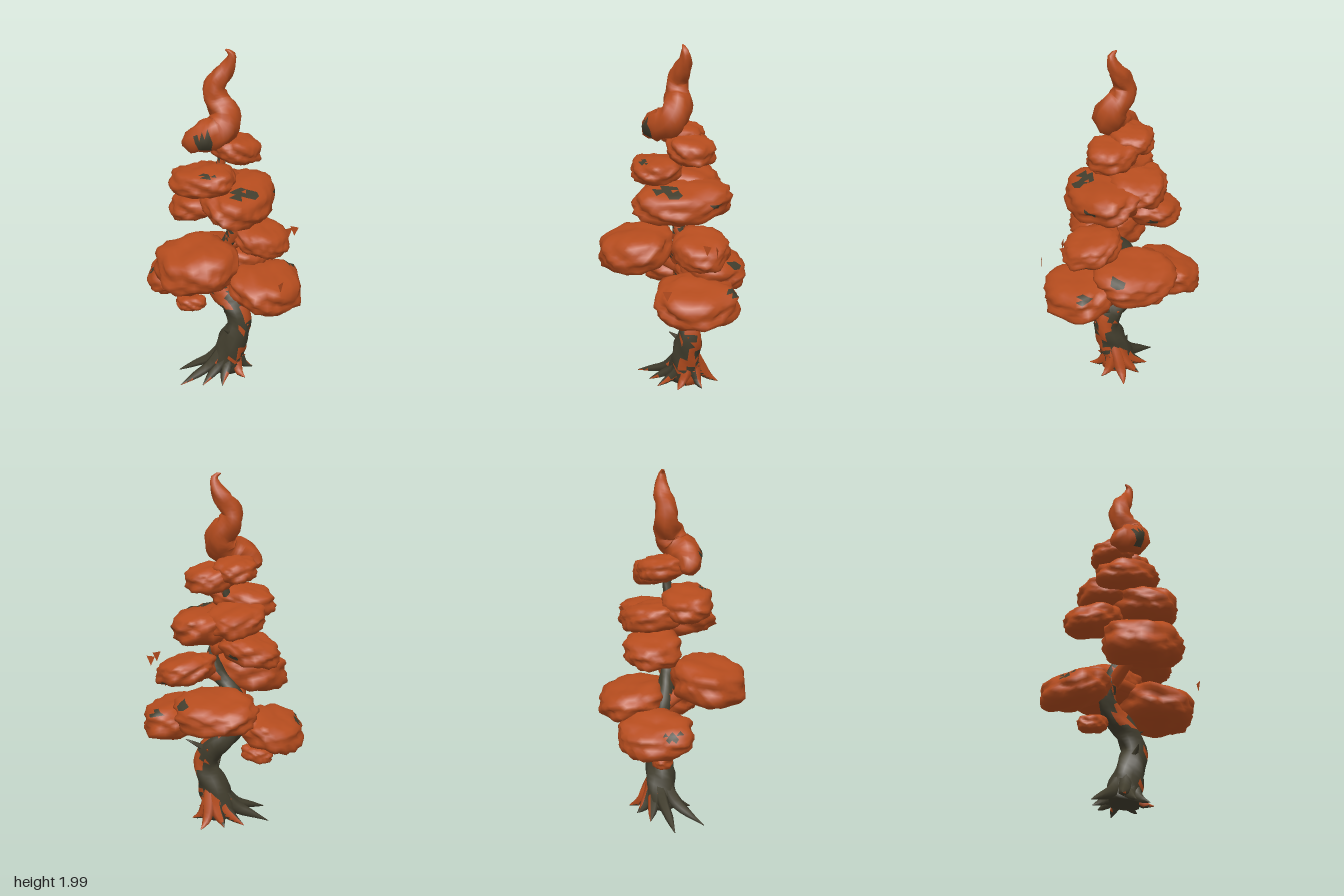
import * as THREE from 'three';
import { mergeVertices } from 'three/addons/utils/BufferGeometryUtils.js';

const foliage = new THREE.MeshStandardMaterial({ name: 'rust foliage', color: 0xb54c1e, side: THREE.DoubleSide });
const bark = new THREE.MeshStandardMaterial({ name: 'dark bark', color: 0x423e2e, side: THREE.DoubleSide });

// Smooth lumpiness from a few sine waves
const lump = (x, y, z, s) =>
  Math.sin(5.1 * x + 2.3 * y + s * 1.7) * Math.sin(4.3 * z - 3.1 * y + s * 2.9) * 0.5 +
  Math.sin(9.7 * x - 6.1 * z + s) * Math.sin(7.3 * y + 8.9 * z + s * 0.7) * 0.5;

// Join two face lists into one indexed geometry with two material groups
function twoTone(g, first, second) {
  g.setIndex([...first, ...second]);
  g.addGroup(0, first.length, 0);
  g.addGroup(first.length, second.length, 1);
  g.computeVertexNormals();
  return g;
}

// Flattened lumpy cushion: slopes shear it along x and z, spots are directions of small dark patches
function makePad([cx, cy, cz], [rx, ry, rz], [slopeX, slopeZ], seed, spots = []) {
  let g = new THREE.IcosahedronGeometry(1, 6);
  g.deleteAttribute('uv');
  g.deleteAttribute('normal');
  g = mergeVertices(g, 1e-4);
  const p = g.attributes.position, index = Array.from(g.index.array);
  const marks = spots.map(s => new THREE.Vector3(...s).normalize());
  const lists = [[], []], v = new THREE.Vector3();
  for (let i = 0; i < index.length; i += 3) {
    const tri = index.slice(i, i + 3);
    v.set(0, 0, 0);
    tri.forEach(k => v.add(new THREE.Vector3().fromBufferAttribute(p, k)));
    v.normalize();
    const dark = marks.some(m => m.dot(v) > 0.985 + 0.008 * Math.sin(i * 1.3));
    lists[dark ? 1 : 0].push(...tri);
  }
  for (let i = 0; i < p.count; i++) {
    const x = p.getX(i), y = p.getY(i), z = p.getZ(i);
    const box = Math.pow(Math.pow(Math.hypot(x, z), 3.4) + Math.pow(Math.abs(y), 3.4), -1 / 3.4);
    const k = box * (0.97 + 0.13 * lump(x, y, z, seed));
    const px = x * k * rx, pz = z * k * rz;
    p.setXYZ(i, cx + px, cy + y * k * ry + slopeX * px + slopeZ * pz, cz + pz);
  }
  return twoTone(g, lists[0], lists[1]);
}

// Tapered tube through rows of [x, y, z, radius]; patch(normal, point) picks faces of the second material
function makeTube(rows, steps, sides, patch = () => false, rough = 0.1) {
  const curve = new THREE.CatmullRomCurve3(rows.map(r => new THREE.Vector3(r[0], r[1], r[2])));
  const frames = curve.computeFrenetFrames(steps, false);
  const pos = [], lists = [[], []];
  const dir = (i, j) => frames.normals[i].clone().multiplyScalar(Math.cos(j / sides * Math.PI * 2))
    .addScaledVector(frames.binormals[i], Math.sin(j / sides * Math.PI * 2));
  for (let i = 0; i <= steps; i++) {
    const t = curve.getUtoTmapping(i / steps) * (rows.length - 1);
    const n = Math.min(Math.floor(t), rows.length - 2);
    const r = THREE.MathUtils.lerp(rows[n][3], rows[n + 1][3], t - n);
    const c = curve.getPointAt(i / steps);
    for (let j = 0; j < sides; j++) {
      const d = dir(i, j).multiplyScalar(r * (1 + rough * Math.sin(j * 2.4 + i * 0.9)));
      pos.push(c.x + d.x, c.y + d.y, c.z + d.z);
    }
  }
  for (let i = 0; i < steps; i++) for (let j = 0; j < sides; j++) {
    const a = i * sides + j, b = i * sides + (j + 1) % sides;
    const pick = (s, u) => lists[patch(dir(i, j + s), curve.getPointAt((i + u) / steps)) ? 1 : 0];
    pick(0.33, 0.33).push(a, b, a + sides);
    pick(0.67, 0.67).push(b, b + sides, a + sides);
  }
  // End caps
  const last = steps * sides;
  for (let j = 1; j < sides - 1; j++) lists[0].push(0, j + 1, j, last, last + j, last + j + 1);
  const g = new THREE.BufferGeometry();
  g.setAttribute('position', new THREE.Float32BufferAttribute(pos, 3));
  return twoTone(g, lists[0], lists[1]);
}

export function createModel() {
  const tree = new THREE.Group();
  tree.name = 'twistedTree';
  const add = (name, geometry, material) => {
    const m = new THREE.Mesh(geometry, material);
    m.name = name;
    tree.add(m);
  };
  // Rust patches mostly cover the +x and back side of the bark, and the front higher up
  const patchy = (n, p) => 0.9 * n.x - 0.35 * n.z + (p.y > 0.46 ? 0.8 * n.z + 0.15 : 0) +
    0.5 * Math.sin(p.y * 31 + n.z * 4) + 0.35 * Math.sin(p.y * 67 + n.x * 7) > 0.6;

  // Winding trunk, continuing as a thin stem inside the crown
  add('trunk', makeTube([
    [0.02, 0.05, -0.07, 0.09], [0.03, 0.12, -0.07, 0.09], [0.06, 0.23, -0.07, 0.083],
    [0.1, 0.36, -0.08, 0.066], [0.06, 0.46, -0.09, 0.066], [-0.03, 0.54, -0.09, 0.058],
    [-0.09, 0.64, -0.07, 0.045], [-0.06, 0.76, -0.04, 0.045], [0.05, 0.9, -0.03, 0.038],
    [0.08, 0.99, -0.02, 0.034], [0.03, 1.1, -0.01, 0.028], [-0.02, 1.25, -0.01, 0.025],
    [0.01, 1.4, -0.03, 0.025], [0, 1.56, 0, 0.02],
  ], 60, 11, patchy), [bark, foliage]);

  // Spreading pointed roots: [tip x, tip z, tip y]
  [[-0.24, 0.02, 0.01], [-0.16, 0.18, 0.02], [-0.04, 0.13, 0.02], [0.07, 0.1, 0.03], [0.17, 0.0, 0.05],
    [0.16, -0.14, 0.04], [0.07, -0.25, 0.03], [-0.05, -0.2, 0.04], [-0.14, -0.12, 0.03]]
    .forEach(([x, z, y], i) => add('root' + (i + 1), makeTube([
      [0.06 + x * 0.1, 0.24, -0.08 + z * 0.1, 0.035],
      [0.03 + x * 0.36, 0.11, -0.06 + z * 0.4, 0.036],
      [0.01 + x * 0.65, 0.06, -0.03 + z * 0.68, 0.023],
      [x, y, z, 0.002],
    ], 10, 6, (n, p) => n.y > -0.3 && (patchy(n, p) || (i % 2 === 0 && x > 0) || (z < 0 && n.z < -0.4))),
    [bark, foliage]));

  // Branches reaching into the cushions
  [[[-0.09, 0.63, -0.07], [-0.25, 0.68, -0.07]], [[-0.06, 0.72, -0.05], [0.2, 0.66, -0.08]],
    [[-0.07, 0.7, -0.05], [-0.04, 0.82, 0.18]], [[-0.08, 0.66, -0.07], [0, 0.72, -0.24]],
    [[0.02, 0.86, -0.03], [0.2, 0.92, -0.1]], [[0.06, 1.02, -0.03], [-0.14, 1.07, -0.1]]]
    .forEach(([a, b], i) => add('branch' + (i + 1), makeTube([
      [...a, 0.038], [(a[0] + b[0]) / 2, (a[1] + b[1]) / 2 + 0.02, (a[2] + b[2]) / 2, 0.034], [...b, 0.025],
    ], 6, 7), foliage));

  // Short broken twigs on the trunk: base, tip, material
  [[[0.1, 0.31, -0.07], [0.165, 0.375, -0.06], foliage], [[0.06, 0.45, -0.11], [0.2, 0.51, -0.13], bark],
    [[0.07, 0.44, -0.1], [0.06, 0.48, -0.17], foliage], [[0.07, 0.3, -0.05], [0.05, 0.36, 0.03], bark]]
    .forEach(([a, b, mat], i) => add('twig' + (i + 1), makeTube([[...a, 0.035], [...b, 0.002]], 3, 5), mat));

  // Foliage cushions winding up the tree: centre, radii, slopes, dark spots
  [
    ['lowRightPad', [-0.285, 0.62, -0.08], [0.17, 0.09, 0.205], [0.24, 0], [[-0.6, 0.6, 0.4]]],
    ['lowLeftPad', [0.25, 0.635, -0.09], [0.2, 0.1, 0.23], [-0.15, 0], [[0.3, 0.7, -0.75]]],
    ['lowFrontPad', [-0.04, 0.85, 0.2], [0.23, 0.11, 0.205], [0.05, -0.12]],
    ['lowBackPad', [-0.01, 0.73, -0.22], [0.235, 0.09, 0.19], [0, 0.15], [[0.6, 0.7, -0.5]]],
    ['midLeftPad', [0.2, 0.92, -0.12], [0.165, 0.075, 0.155], [-0.2, 0], [[0.5, -0.6, -0.6]]],
    ['midRightPad', [-0.16, 1.07, -0.1], [0.165, 0.075, 0.155], [0.22, 0], [[0.3, -0.4, -0.9]]],
    ['upperLeftPad', [0.1, 1.17, -0.04], [0.185, 0.095, 0.265], [-0.1, -0.04],
      [[0.2, 0.85, 0.3], [0.25, 0.8, 0.5], [0.55, 0.8, 0.25], [0.8, 0.1, -0.6]]],
    ['upperBackPad', [-0.08, 1.225, -0.1], [0.16, 0.075, 0.17], [-0.05, 0.12]],
    ['upperRightPad', [-0.06, 1.295, 0.08], [0.185, 0.075, 0.14], [0.12, 0], [[0.3, 0.7, 0.5]]],
    ['topPad', [0.06, 1.44, -0.09], [0.14, 0.07, 0.13], [-0.1, 0.1]],
    ['topRightPad', [-0.06, 1.49, -0.06], [0.12, 0.06, 0.125], [0, 0.1]],
  ].forEach(([name, c, r, s, spots], i) =>
    add(name, makePad(c, r, s, i * 1.9 + 0.5, spots), [foliage, bark]));

  // Curling tip of the crown
  add('curledTip', makeTube([
    [-0.16, 1.49, 0.07, 0.02], [-0.12, 1.51, 0.085, 0.062], [-0.04, 1.55, 0.075, 0.082],
    [0.03, 1.59, 0.02, 0.088], [0.03, 1.66, -0.02, 0.077], [-0.02, 1.72, -0.03, 0.067],
    [-0.035, 1.79, -0.03, 0.056], [0.005, 1.86, -0.05, 0.05], [0.045, 1.93, -0.06, 0.03],
    [0.05, 1.975, -0.055, 0.018], [0.02, 1.995, -0.05, 0.004],
  ], 36, 12, (n, p) => p.y > 1.535 && p.y < 1.56 && n.z > 0.6 && n.y < 0.4), [foliage, bark]);

  // Loose sprig beside the trunk, and stray leaves
  add('looseSprig', makePad([-0.19, 0.445, -0.05], [0.09, 0.045, 0.06], [0.12, 0], 3), foliage);
  const leaf = new THREE.Shape([[-0.025, 0.025], [0.025, 0.025], [0, -0.03]].map(q => new THREE.Vector2(...q)));
  [[0.385, 0.965, -0.17, 0], [0.37, 0.975, -0.12, 0.9], [0.41, 0.75, 0.1, 1.3]].forEach(([x, y, z, turn], i) =>
    add('strayLeaf' + (i + 1), new THREE.ShapeGeometry(leaf).rotateY(turn).translate(x, y, z), foliage));

  return tree;
}
